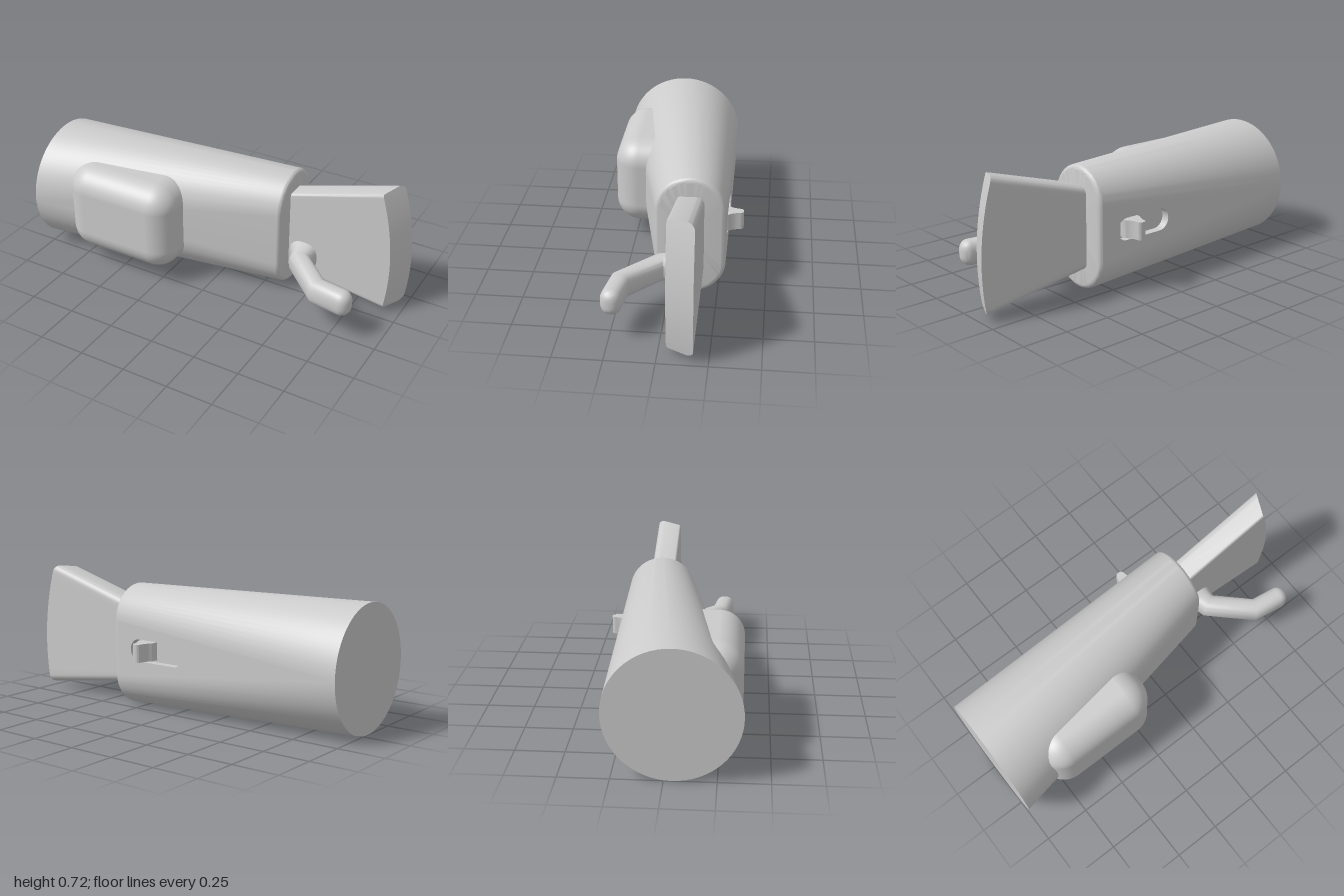
import * as THREE from 'three';
import { toCreasedNormals } from 'three/addons/utils/BufferGeometryUtils.js';
import { RoundedBoxGeometry } from 'three/addons/geometries/RoundedBoxGeometry.js';

const grey = new THREE.MeshStandardMaterial({ color: 0xcccccc });
const greyDouble = new THREE.MeshStandardMaterial({ color: 0xcccccc, side: THREE.DoubleSide });

function part(name, geometry, material = grey) {
  const mesh = new THREE.Mesh(geometry, material);
  mesh.name = name;
  return mesh;
}

// Skin closed rings (counterclockwise seen from the last ring's side).
function loft(rings, { start = true, end = true, skip = () => false, crease = 0.6 } = {}) {
  const n = rings[0].length;
  const pos = rings.flat(2);
  const idx = [];
  for (let i = 0; i < rings.length - 1; i++) {
    for (let j = 0; j < n; j++) {
      if (skip(i, j)) continue;
      const k = (j + 1) % n;
      const a = i * n + j, b = i * n + k, c = b + n, d = a + n;
      idx.push(a, b, c, a, c, d);
    }
  }
  const cap = (r, flip) => {
    const centre = [0, 1, 2].map((q) => rings[r].reduce((s, p) => s + p[q], 0) / n);
    const m = pos.push(...centre) / 3 - 1;
    for (let j = 0; j < n; j++) {
      const a = r * n + j, b = r * n + ((j + 1) % n);
      idx.push(m, flip ? b : a, flip ? a : b);
    }
  };
  if (start) cap(0, true);
  if (end) cap(rings.length - 1, false);
  const g = new THREE.BufferGeometry();
  g.setAttribute('position', new THREE.Float32BufferAttribute(pos, 3));
  g.setIndex(idx);
  return toCreasedNormals(g, crease);
}

const MID = 0.33, BACK = -0.29, R0 = 0.33, R1 = 0.183, FILLET = 0.025, NOSE = 0.365;
const HALF = 32;

// Body: round at one end, changing to an upright stadium at the other.
function bodyRing(x, r, straight, zc) {
  const ring = [];
  for (let s = 0; s < 2; s++) {
    for (let j = 0; j <= HALF; j++) {
      const a = Math.PI * (s + j / HALF);
      ring.push([x, MID + (s ? -straight : straight) + r * Math.sin(a), zc - r * Math.cos(a)]);
    }
  }
  return ring;
}

function stadium(cx, cy, halfLength, r) {
  const pts = [];
  for (let s = 0; s < 2; s++) {
    for (let j = 0; j <= 16; j++) {
      const a = Math.PI * (s + j / 16) - Math.PI / 2;
      pts.push(new THREE.Vector2(cx + (s ? -1 : 1) * (halfLength - r) + r * Math.cos(a), cy + r * Math.sin(a)));
    }
  }
  return pts;
}

function makeBody() {
  const group = new THREE.Group();
  group.name = 'body';
  const straight = MID - R1;
  const rings = [bodyRing(-1, R0, 0, BACK + R0)];
  for (let i = 0; i <= 6; i++) {
    const a = (i / 6) * Math.PI / 2;
    rings.push(bodyRing(NOSE - FILLET + FILLET * Math.sin(a), R1 - FILLET * (1 - Math.cos(a)), straight, BACK + R1));
  }
  const last = 2 * HALF + 1;
  group.add(part('bodyShell', loft(rings, { skip: (i, j) => i === 0 && j === last })));

  // Flat back panel with the slot cut through it (drawn with x mirrored, then turned).
  const tip = NOSE - FILLET;
  const panel = new THREE.Shape([
    new THREE.Vector2(1, MID), new THREE.Vector2(-tip, MID - straight), new THREE.Vector2(-tip, MID + straight)]);
  const slot = stadium(-0.075, MID, 0.175, 0.06);
  panel.holes.push(new THREE.Path(slot));
  group.add(part('backPanel', new THREE.ShapeGeometry(panel).rotateY(Math.PI).translate(0, 0, BACK), greyDouble));
  const slotRing = (z) => slot.map((p) => [-p.x, p.y, z]);
  group.add(part('slotPocket', loft([slotRing(BACK + 0.045), slotRing(BACK)], { end: false }), greyDouble));
  return group;
}

// Sliding lug: concave-sided profile, extruded upward.
function makeLug() {
  const s = new THREE.Shape();
  s.moveTo(-0.05, -0.25);
  s.lineTo(-0.05, -0.29);
  s.quadraticCurveTo(-0.028, -0.315, -0.024, -0.35);
  s.quadraticCurveTo(-0.022, -0.372, 0, -0.372);
  s.quadraticCurveTo(0.022, -0.372, 0.024, -0.35);
  s.quadraticCurveTo(0.028, -0.315, 0.05, -0.29);
  s.lineTo(0.05, -0.25);
  const g = new THREE.ExtrudeGeometry(s, { depth: 0.096, bevelEnabled: false, curveSegments: 10 });
  g.rotateX(Math.PI / 2).translate(0.15, 0.379, 0);
  return part('slideLug', toCreasedNormals(g, 0.7));
}

// Fan-shaped blade with a curved, slanted outer end.
function makeBlade() {
  const zF = -0.042, zB = -0.178, rF = 0.012, rB = 0.04;
  const inset = (d, r) => (d >= r ? 0 : r - Math.sqrt(r * r - (r - d) ** 2));
  const corner = [0, 0.002, 0.006, 0.012, 0.02, 0.03, 0.04];
  const rows = [];
  corner.forEach((d) => rows.push([0, d]));
  for (let i = 1; i < 16; i++) rows.push([i / 16, 0.04 - 0.08 * (i / 16)]);
  corner.slice().reverse().forEach((d) => rows.push([1, -d]));

  const yAt = (x, v, off) => {
    const bottom = 0.115 - 0.14 * (x - 0.365), top = 0.56 + 0.29 * (x - 0.365);
    return bottom + (top - bottom) * v + off;
  };
  const point = (outer, [v, off], z) => {
    let x = 0.3;
    if (outer) {
      x = 0.95;
      for (let k = 0; k < 8; k++) x = 1 - 0.37 * (yAt(x, v, off) - 0.27) ** 2 - 0.47 * (z - zB);
    }
    return [x, yAt(x, v, off), z];
  };
  const sides = (outer) => rows.map((row) => {
    const d = Math.abs(row[1]), edge = row[0] === 0 || row[0] === 1;
    return [
      point(outer, row, zB + (edge ? inset(d, rB) : 0)),
      point(outer, row, zF - (edge ? inset(d, rF) : 0))];
  });
  const ring = (s) => [...s.map((p) => p[0]), ...s.map((p) => p[1]).reverse()];
  const outer = sides(true);
  const group = new THREE.Group();
  group.name = 'blade';
  group.add(part('bladeSides', loft([ring(sides(false)), ring(outer)], { end: false })));

  // Curved end face, one strip per row.
  const idx = [];
  for (let i = 0; i < rows.length - 1; i++) {
    const b = 2 * i, f = b + 1;
    idx.push(f, b, b + 2, f, b + 2, f + 2);
  }
  const g = new THREE.BufferGeometry();
  g.setAttribute('position', new THREE.Float32BufferAttribute(outer.flat(2), 3));
  g.setIndex(idx);
  g.computeVertexNormals();
  group.add(part('bladeEnd', g, greyDouble));
  return group;
}

// Bent handle with a flared foot and a rounded tip.
function makeHandle() {
  const Y = 0.208;
  // x, z, heading in degrees, half width, half height
  const stations = [
    [0.45, -0.06, 90, 0.088, 0.088], [0.45, -0.042, 90, 0.08, 0.083], [0.458, -0.02, 88, 0.068, 0.076],
    [0.465, 0.005, 84, 0.06, 0.07], [0.47, 0.035, 66, 0.058, 0.068],
    [0.655, 0.212, 27, 0.056, 0.068]];
  const r = 0.05, t = 10 * Math.PI / 180;
  for (let i = 0; i <= 7; i++) {
    const a = (i / 7) * Math.PI / 2 * 0.98;
    const f = r * Math.sin(a), s = r * (1 - Math.cos(a));
    stations.push([0.802 + f * Math.cos(t), 0.235 + f * Math.sin(t), 10, 0.054 - s, 0.068 - s]);
  }
  const soft = (v) => Math.sign(v) * Math.abs(v) ** 0.8;
  const rings = stations.map(([x, z, deg, w, h]) => {
    const d = deg * Math.PI / 180;
    return Array.from({ length: 32 }, (_, j) => {
      const a = (j / 32) * Math.PI * 2;
      const side = w * soft(Math.sin(a));
      return [x - Math.sin(d) * side, Y + h * soft(Math.cos(a)), z + Math.cos(d) * side];
    });
  });
  return part('handle', loft(rings, { crease: 0.7 }));
}

export function createModel() {
  const model = new THREE.Group();
  model.name = 'model';
  model.add(makeBody(), makeLug(), makeBlade(), makeHandle());

  // Soft rounded housing on the front of the body.
  const housing = part('sideHousing', new RoundedBoxGeometry(0.655, 0.495, 0.42, 8, 0.13));
  housing.position.set(-0.4825, 0.332, 0.152);
  model.add(housing);
  return model;
}
